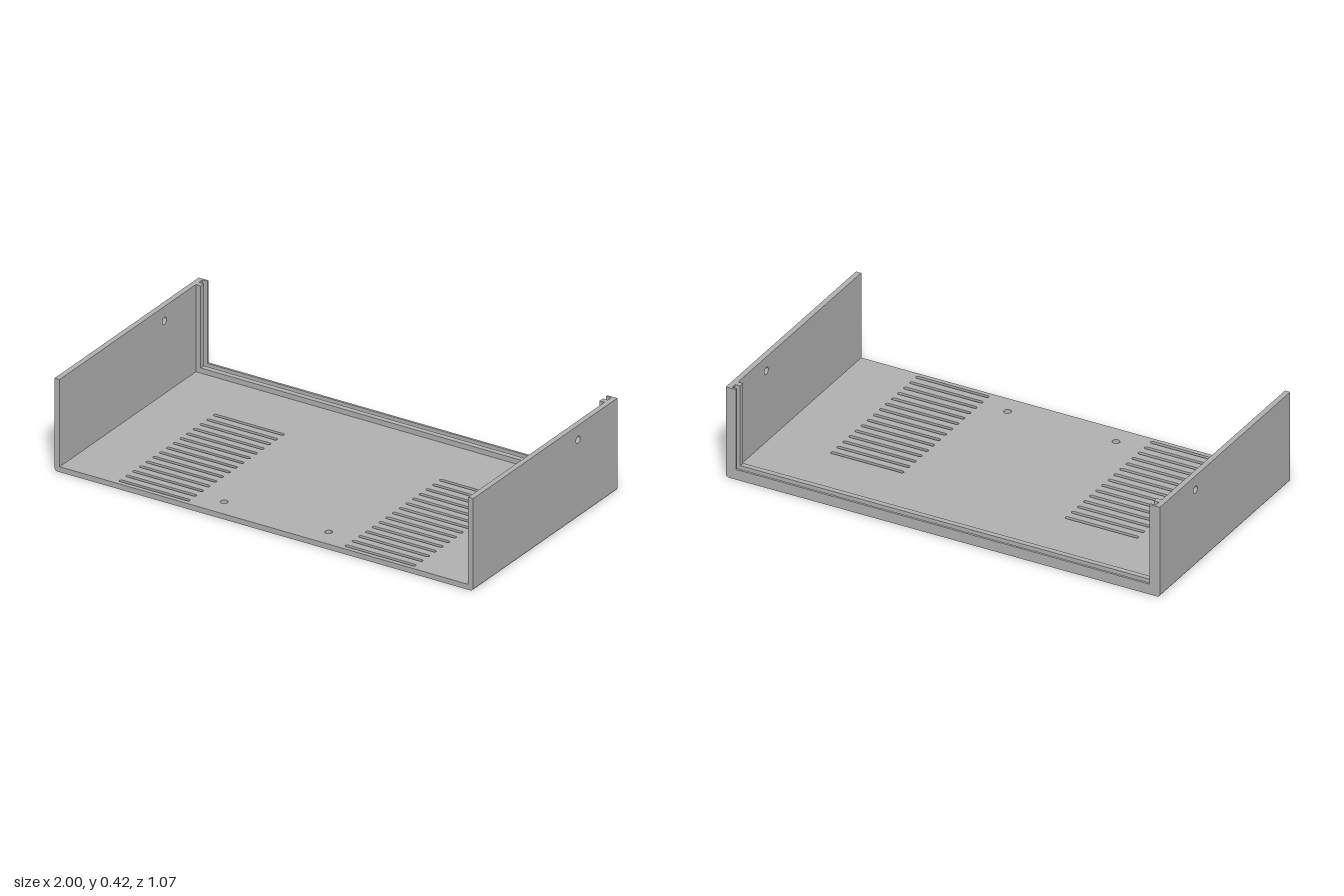
import * as THREE from 'three';
import { toCreasedNormals } from 'three/addons/utils/BufferGeometryUtils.js';

const W = 1, D = 0.536, H = 0.416; // half width, half depth, height
const T = 0.024;                   // sheet thickness
const R = 0.014;                   // rounding of the lower long edges

const polygon = (pts) => new THREE.Shape(pts.map(([x, y]) => new THREE.Vector2(x, y)));

function extrude(shape, depth) {
  return new THREE.ExtrudeGeometry(shape, { depth, bevelEnabled: false, curveSegments: 12 });
}

function roundHole(x, y, r) {
  return new THREE.Path().absarc(x, y, r, 0, Math.PI * 2, true);
}

// Horizontal slot with semicircular ends
function slotHole(x0, x1, y, r) {
  const p = new THREE.Path();
  p.absarc(x1 - r, y, r, -Math.PI / 2, Math.PI / 2, false);
  p.absarc(x0 + r, y, r, Math.PI / 2, Math.PI * 1.5, false);
  p.closePath();
  return p;
}

export function createModel() {
  const group = new THREE.Group();
  const grey = new THREE.MeshStandardMaterial({ color: 0xb2b2b2 });
  grey.name = 'grey';

  const add = (name, geometry) => {
    const mesh = new THREE.Mesh(toCreasedNormals(geometry, 0.6), grey);
    mesh.name = name;
    group.add(mesh);
    return mesh;
  };

  // Floor with two banks of vent slots and two screw holes
  const xi = W - T;
  const floor = polygon([[-xi, -D], [xi, -D], [xi, D], [-xi, D]]);
  for (const s of [-1, 1]) {
    const cx = s * 0.54;
    for (let i = 0; i < 15; i++) {
      const z = -0.192 + i * 0.05;
      floor.holes.push(slotHole(cx - 0.168, cx + 0.168, -z, 0.008));
    }
    floor.holes.push(roundHole(s * 0.25, -0.443, 0.016));
  }
  add('floor', extrude(floor, T).rotateX(-Math.PI / 2));

  // Side walls, each with a screw hole near the back
  for (const s of [-1, 1]) {
    const side = s > 0 ? 'left' : 'right';
    const wall = polygon([[-D, T], [D, T], [D, H], [-D, H]]);
    wall.holes.push(roundHole(0.244, 0.352, 0.016)); // shape x is -z
    const mesh = add(side + 'Wall', extrude(wall, T).rotateY(Math.PI / 2));
    mesh.position.x = s > 0 ? W - T : -W;

    // Rounded lower edge joining wall and floor
    const corner = new THREE.Shape();
    corner.moveTo(s * xi, 0);
    corner.lineTo(s * (W - R), 0);
    if (s > 0) corner.absarc(W - R, R, R, -Math.PI / 2, 0, false);
    else corner.absarc(-W + R, R, R, -Math.PI / 2, -Math.PI, true);
    corner.lineTo(s * W, T);
    corner.lineTo(s * xi, T);
    add(side + 'LowerEdge', extrude(corner, 2 * D)).position.z = -D;
  }

  // Two U-shaped ribs at the back, leaving a panel groove between them
  const xr = W - 2 * T + 0.001, yr = 2 * T - 0.001;
  const rib = polygon([
    [-xi, T], [xi, T], [xi, H], [xr, H], [xr, yr], [-xr, yr], [-xr, H], [-xi, H],
  ]);
  for (const [name, z0, z1] of [['rearRib', -D, -0.526], ['innerRib', -0.501, -0.477]]) {
    add(name, extrude(rib, z1 - z0)).position.z = z0;
  }

  return group;
}
